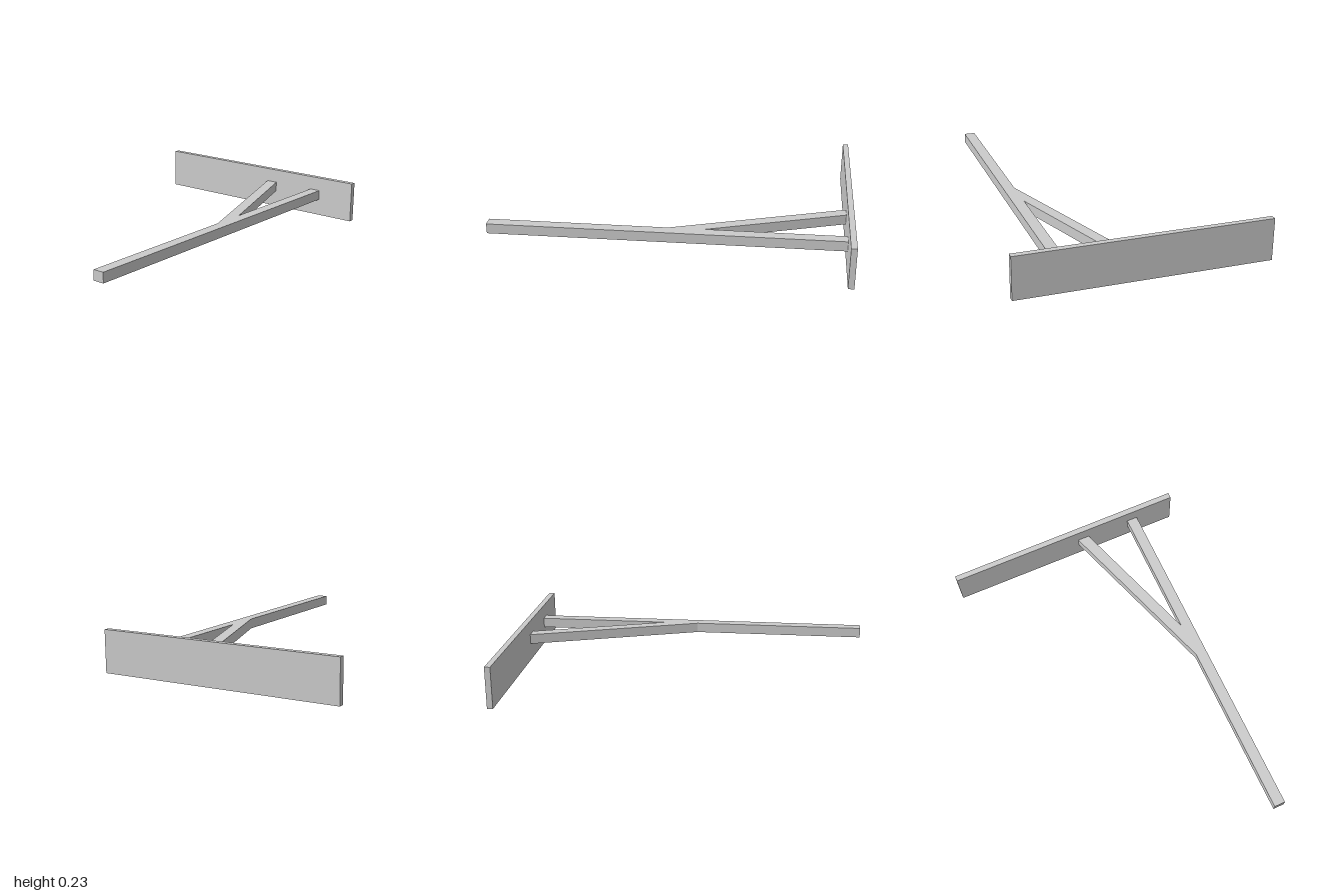
import * as THREE from 'three';

const material = new THREE.MeshStandardMaterial({ color: 0xcccccc, flatShading: true });

// Upright slab from a plan outline of [x, z] corners, between two heights
function slab(name, outline, bottom, top) {
  const shape = new THREE.Shape(outline.map(([x, z]) => new THREE.Vector2(x, -z)));
  const geometry = new THREE.ExtrudeGeometry(shape, { depth: top - bottom, bevelEnabled: false });
  geometry.rotateX(-Math.PI / 2).translate(0, bottom, 0);
  const mesh = new THREE.Mesh(geometry, material);
  mesh.name = name;
  return mesh;
}

export function createModel() {
  const group = new THREE.Group();
  group.name = 'bracedBoard';

  const beamBottom = 0.098, beamTop = 0.155;

  // Wide board, turned very slightly about the vertical
  group.add(slab('board', [[0.952, 0.69], [0.985, 0.69], [1, -0.693], [0.968, -0.693]], 0, 0.235));

  // Long straight handle
  group.add(slab('handle', [[-1, 0.402], [-1, 0.465], [0.955, 0.465], [0.956, 0.402]], beamBottom, beamTop));

  // Diagonal brace, mitred against the handle and the board
  group.add(slab('brace', [[-0.01, 0.402], [0.19, 0.402], [0.958, 0.146], [0.959, 0.078]], beamBottom, beamTop));

  return group;
}
